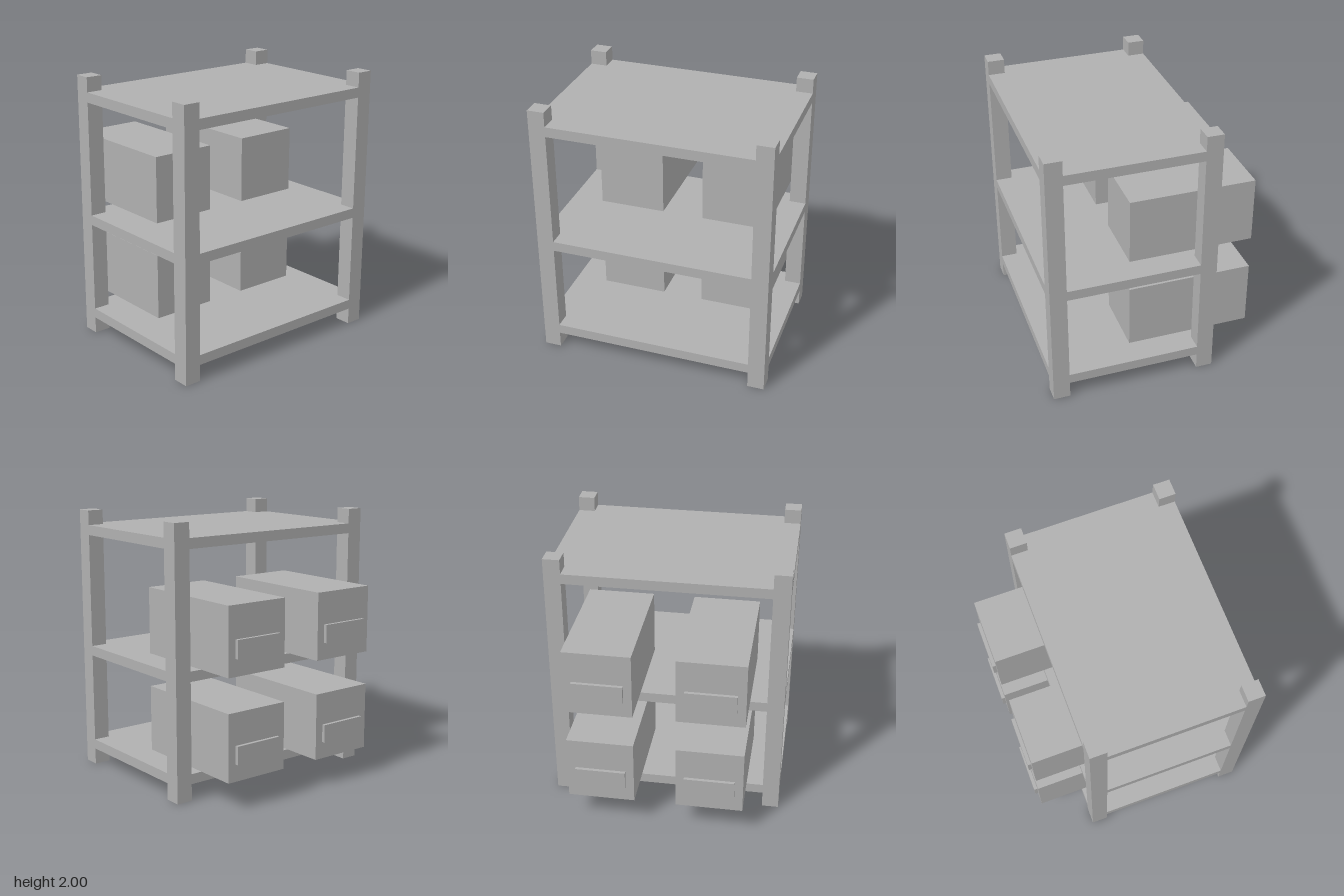
import * as THREE from 'three';

export function createModel() {
  const model = new THREE.Group();
  model.name = 'storageRack';
  const grey = new THREE.MeshStandardMaterial({ color: 0xb0b0b0 });
  grey.name = 'plain grey';

  const X = 0.875, BACK = -0.4375, FRONT = 0.8125, POST = 0.125;

  function box(parent, name, size, position) {
    const mesh = new THREE.Mesh(new THREE.BoxGeometry(...size), grey);
    mesh.name = name;
    mesh.position.set(...position);
    parent.add(mesh);
    return mesh;
  }

  // Four full-height corner posts
  for (const side of [-1, 1]) {
    const sideName = side > 0 ? 'Left' : 'Right';
    box(model, 'front' + sideName + 'Post', [POST, 2, POST], [side * (X - POST / 2), 1, FRONT - POST / 2]);
    box(model, 'back' + sideName + 'Post', [POST, 2, POST], [side * (X - POST / 2), 1, BACK + POST / 2]);
  }

  // Shelf outline, notched at the corners to fit around the posts
  const xi = X - POST, zb = BACK + POST, zf = FRONT - POST;
  const outline = new THREE.Shape([
    [-xi, BACK], [xi, BACK], [xi, zb], [X, zb], [X, zf], [xi, zf],
    [xi, FRONT], [-xi, FRONT], [-xi, zf], [-X, zf], [-X, zb], [-xi, zb],
  ].map(([x, z]) => new THREE.Vector2(x, -z)));
  const shelfGeometry = new THREE.ExtrudeGeometry(outline, { depth: 0.075, bevelEnabled: false });
  shelfGeometry.rotateX(-Math.PI / 2);
  [['bottomShelf', 0.125], ['middleShelf', 0.88], ['topShelf', 1.815]].forEach(([name, y]) => {
    const shelf = new THREE.Mesh(shelfGeometry, grey);
    shelf.name = name;
    shelf.position.y = y;
    model.add(shelf);
  });

  // Storage bins sticking out of the back, each with a raised handle plate
  for (const [level, y] of [['lower', 0.465], ['upper', 1.217]]) {
    for (const [side, x] of [['Right', -0.375], ['Left', 0.4375]]) {
      const bin = new THREE.Group();
      bin.name = level + side + 'Bin';
      bin.position.set(x, y, -0.3115);
      box(bin, 'binBody', [0.5, 0.5, 0.952], [0, 0, 0]);
      box(bin, 'binHandle', [0.375, 0.135, 0.025], [0, -0.056, -0.4885]);
      model.add(bin);
    }
  }
  return model;
}
